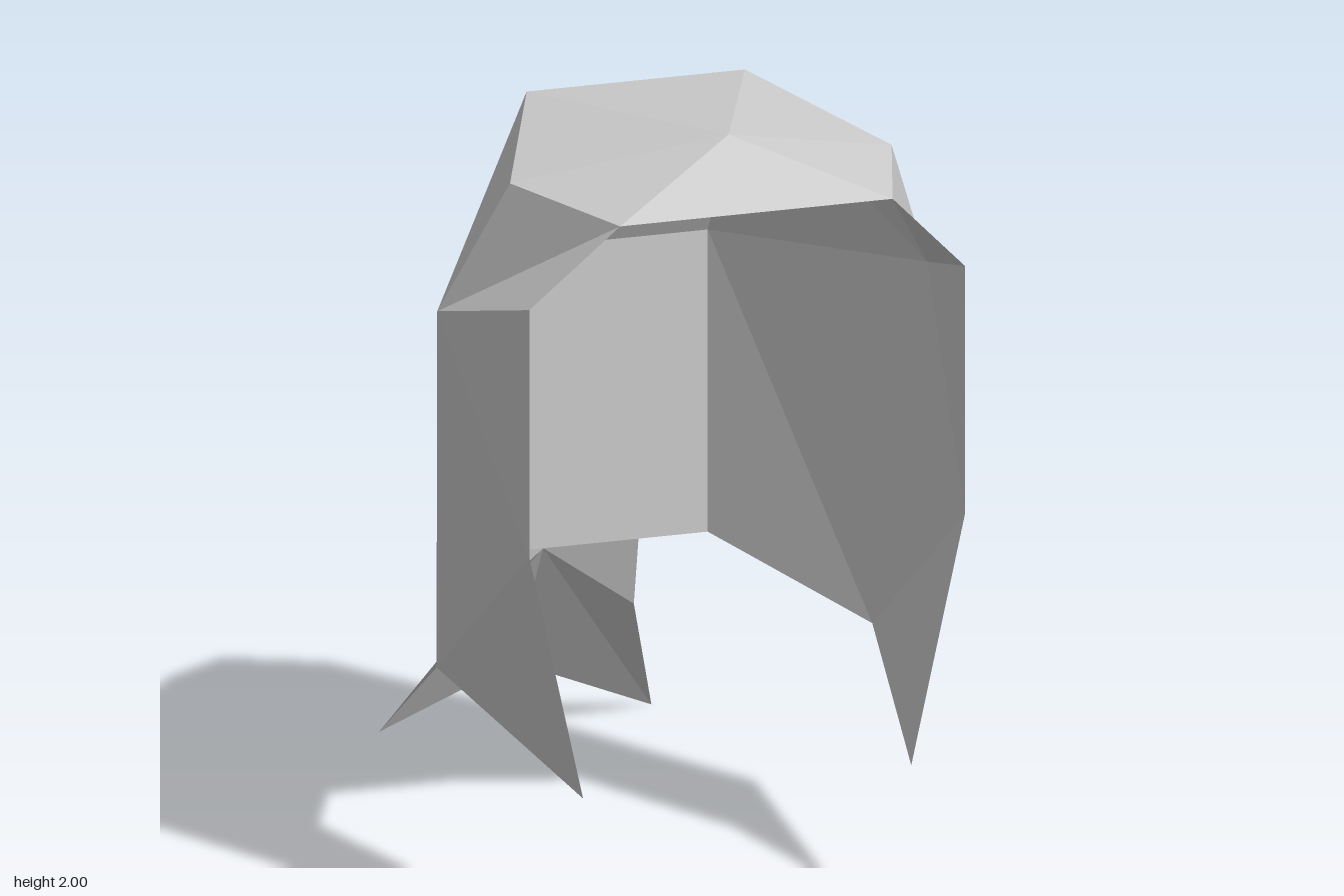
import * as THREE from 'three';

// Faceted mesh from named points of the +x half, mirrored to the -x side
function mirroredMesh(name, points, faces, material) {
  const positions = [];
  for (const face of faces) {
    const corners = face.split(' ').map((key) => points[key]);
    for (const [x, y, z] of corners) positions.push(x, y, z);
    for (const [x, y, z] of corners.reverse()) positions.push(-x, y, z);
  }
  const geometry = new THREE.BufferGeometry();
  geometry.setAttribute('position', new THREE.Float32BufferAttribute(positions, 3));
  geometry.computeVertexNormals();
  const mesh = new THREE.Mesh(geometry, material);
  mesh.name = name;
  return mesh;
}

export function createModel() {
  const hair = new THREE.MeshStandardMaterial({
    name: 'hairGrey', color: 0xcccccc, flatShading: true, side: THREE.DoubleSide,
  });
  const group = new THREE.Group();
  group.name = 'hairstyle';

  // Half of the open cap: "Mid" points lie on the centre plane
  const cap = {
    top: [0, 2, 0.714],
    fringe: [0.357, 1.86, 0.928], fringeMid: [0, 1.86, 0.928],
    crown: [0.286, 1.93, 0], crownMid: [0, 1.93, 0],
    nape: [0.286, 1.43, -0.286], napeMid: [0, 1.43, -0.286],
    hem: [0.286, 0.645, -0.286], hemMid: [0, 0.645, -0.286],
    shoulder: [0.5, 1.86, 0.5],
    wide: [0.642, 1.5, 0.357],
    temple: [0.571, 1.643, 0.857],
    cheek: [0.571, 1, 0.857],
    lock: [0.43, 0.36, 0.857],
    sideHem: [0.571, 0.505, 0.143],
  };
  group.add(mirroredMesh('crownHair', cap, [
    'fringeMid fringe top', 'top fringe shoulder', 'top shoulder crown', 'top crown crownMid',
    'fringe wide shoulder', 'fringe temple wide', 'shoulder wide crown',
  ], hair));
  group.add(mirroredMesh('sideHair', cap, [
    'crown wide nape', 'temple cheek wide', 'cheek sideHem wide', 'cheek lock sideHem',
    'wide sideHem nape', 'sideHem hem nape',
  ], hair));
  group.add(mirroredMesh('backHair', cap, [
    'crown nape napeMid', 'crown napeMid crownMid', 'nape hem hemMid', 'nape hemMid napeMid',
  ], hair));

  // Half of the ridged ponytail, open underneath, with a forked end
  const tail = {
    root: [0.143, 1.715, -0.143], rootMid: [0, 1.715, -0.143],
    bend: [0.214, 1.43, -0.43], bendMid: [0, 1.5, -0.5],
    tie: [0.214, 0.36, -0.643], tieMid: [0, 0.505, -0.714],
    tip: [0.357, 0, -0.928], tipMid: [0, 0.145, -0.928],
  };
  group.add(mirroredMesh('ponytail', tail, [
    'root bendMid rootMid', 'root bend bendMid',
    'bend tie tieMid', 'bend tieMid bendMid',
    'tie tip tieMid', 'tieMid tip tipMid',
  ], hair));

  return group;
}
